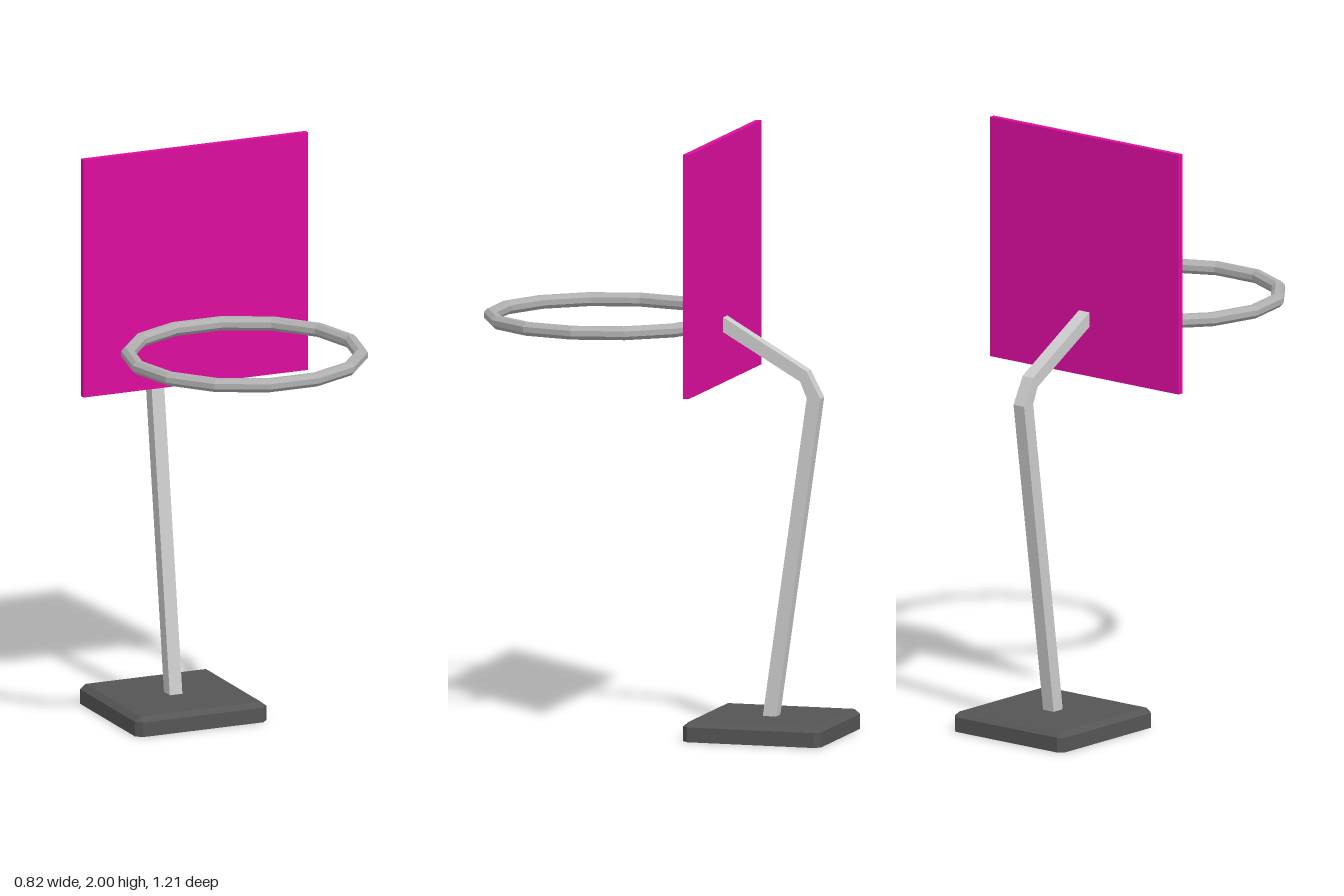
import * as THREE from 'three';
import { ConvexGeometry } from 'three/addons/geometries/ConvexGeometry.js';

function part(name, geometry, color) {
  const mesh = new THREE.Mesh(geometry, new THREE.MeshStandardMaterial({ color, flatShading: true }));
  mesh.name = name;
  return mesh;
}

// Square slab with cut corners and a chamfered top edge
function slabGeometry(half, height, cut) {
  const points = [];
  const inner = half - cut;
  for (const sx of [-1, 1]) for (const sz of [-1, 1]) {
    for (const y of [0, height - cut * 0.8]) {
      points.push(new THREE.Vector3(sx * half, y, sz * inner));
      points.push(new THREE.Vector3(sx * inner, y, sz * half));
    }
    points.push(new THREE.Vector3(sx * inner, height, sz * inner));
  }
  return new ConvexGeometry(points);
}

// Bent square bar: side profile (z, y) extruded across x
function poleGeometry(width) {
  const profile = [
    [-0.34, 0.05], [-0.387, 0.05], [-0.542, 1.14], [-0.495, 1.23],
    [-0.195, 1.405], [-0.195, 1.355], [-0.472, 1.195], [-0.495, 1.14],
  ].map(([z, y]) => new THREE.Vector2(z, y));
  const geometry = new THREE.ExtrudeGeometry(new THREE.Shape(profile), { depth: width, bevelEnabled: false });
  geometry.translate(0, 0, -width / 2);
  geometry.rotateY(-Math.PI / 2);
  return geometry;
}

// Fourteen-sided ring with an octagonal section, flat on top and outside
function ringGeometry(radius, tube) {
  const section = [];
  for (let i = 0; i <= 8; i++) {
    const a = (i + 0.5) * Math.PI / 4;
    section.push(new THREE.Vector2(radius + tube * Math.cos(a), tube * Math.sin(a)));
  }
  return new THREE.LatheGeometry(section, 14, Math.PI / 2);
}

export function createModel() {
  const group = new THREE.Group();
  group.name = 'basketballHoop';

  const base = part('base', slabGeometry(0.24, 0.066, 0.02), 0x555555);
  base.position.z = -0.366;

  const pole = part('pole', poleGeometry(0.046), 0xcccccc);

  const board = part('backboard', new THREE.BoxGeometry(0.82, 0.82, 0.021), 0xdd0d9f);
  board.position.set(0, 1.59, -0.194);

  const ring = part('hoopRing', ringGeometry(0.388, 0.024), 0xb0b0b0);
  ring.position.set(0, 1.382, 0.207);

  group.add(base, pole, board, ring);
  return group;
}
